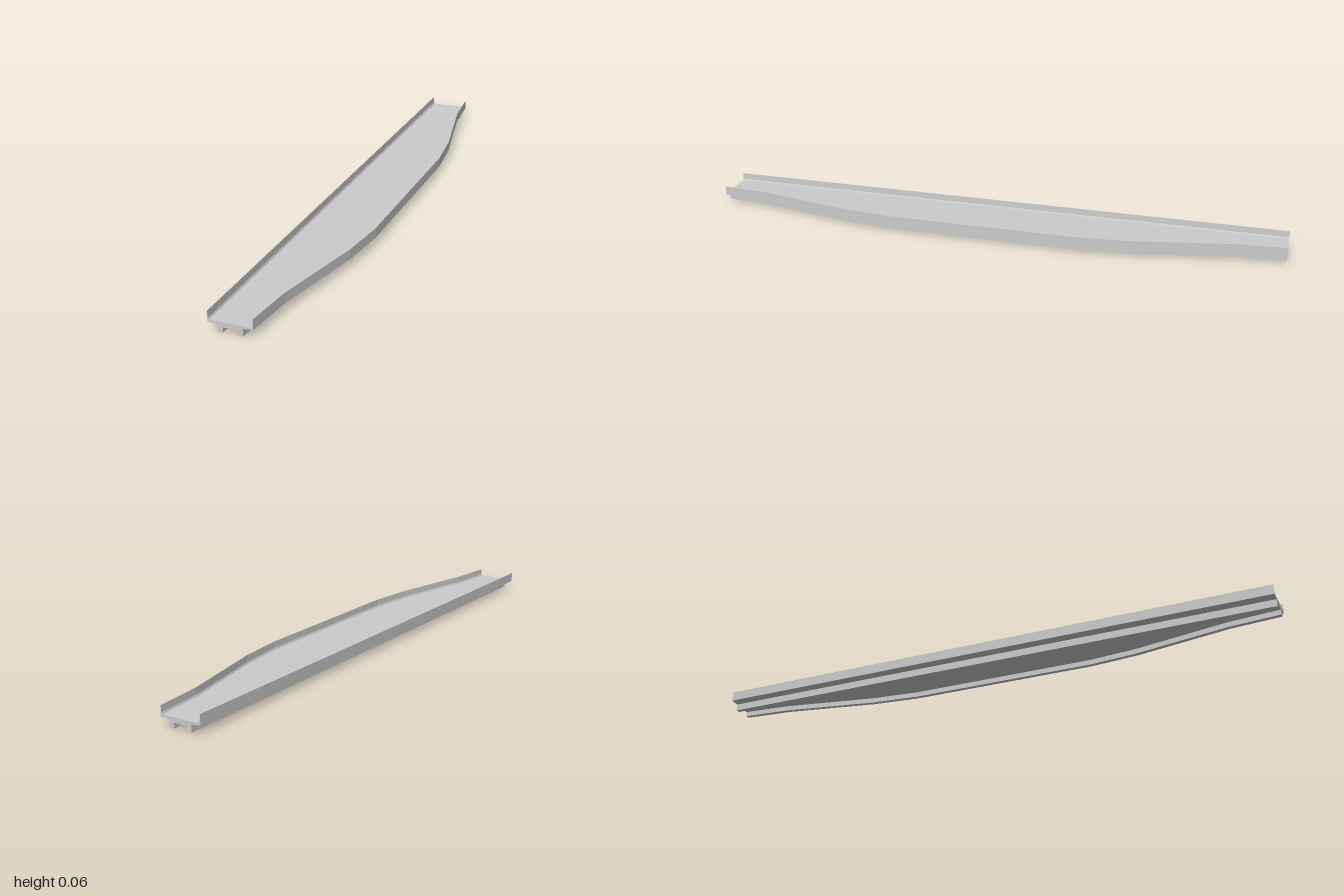
import * as THREE from 'three';

// Plan outline: the left side is straight, the right side bulges out mid-span
const LEFT = -0.121;
const STATIONS = [[-1, 0.02], [-0.83, 0.036], [-0.5, 0.103], [-0.33, 0.121],
  [0.33, 0.121], [0.5, 0.103], [0.83, 0.036], [1, 0.02]];

const L = (d, y) => ({ right: false, d, y });
const R = (d, y) => ({ right: true, d, y });

// Sweeps a counter-clockwise section along z. Each point is held at distance d
// from its side edge; edges listed in hidden are joints with other parts.
function sweep(name, section, hidden, material) {
  const rings = STATIONS.map(([z, edge]) => section.map((p) =>
    new THREE.Vector3(p.right ? edge - p.d : LEFT + p.d, p.y, z)));
  const pos = [];
  const tri = (...pts) => pts.forEach((p) => pos.push(p.x, p.y, p.z));
  const n = section.length;
  for (let s = 0; s < rings.length - 1; s++) {
    for (let i = 0; i < n; i++) {
      if (hidden.includes(i)) continue;
      const j = (i + 1) % n, a = rings[s], b = rings[s + 1];
      tri(a[i], a[j], b[j]);
      tri(a[i], b[j], b[i]);
    }
  }
  // End faces
  const back = rings[0], front = rings[rings.length - 1];
  const flat = front.map((p) => new THREE.Vector2(p.x, p.y));
  for (const [i, j, k] of THREE.ShapeUtils.triangulateShape(flat, [])) {
    tri(front[i], front[j], front[k]);
    tri(back[k], back[j], back[i]);
  }
  const geometry = new THREE.BufferGeometry();
  geometry.setAttribute('position', new THREE.Float32BufferAttribute(pos, 3));
  geometry.computeVertexNormals();
  const mesh = new THREE.Mesh(geometry, material);
  mesh.name = name;
  return mesh;
}

export function createModel() {
  const group = new THREE.Group();
  group.name = 'bridgeDeck';
  const material = new THREE.MeshStandardMaterial({ color: 0xcccccc, flatShading: true });

  // Walking surface, overhanging edges and soffit
  const deck = [R(0.006, 0.033), L(0.006, 0.033), L(0.006, 0.0264), L(0.032, 0.024),
    L(0.048, 0.017), R(0.048, 0.017), R(0.032, 0.024), R(0.006, 0.0264)];
  group.add(sweep('deck', deck, [1, 3, 5, 7], material));

  // Thin side walls with a chamfered foot, and the girders underneath
  const parapet = [[0.006, 0.0264], [0.006, 0.033], [0.003, 0.039], [0.002, 0.06], [0, 0.06], [0, 0.027]];
  const girder = [[0.032, 0.024], [0.032, 0], [0.048, 0], [0.048, 0.017]];
  const addPair = (name, pts, hiddenLeft, hiddenRight) => {
    group.add(sweep('left' + name, [...pts].reverse().map((p) => R(...p)), hiddenLeft, material));
    group.add(sweep('right' + name, pts.map((p) => L(...p)), hiddenRight, material));
  };
  addPair('Parapet', parapet, [4], [0]);
  addPair('Girder', girder, [3], [3]);
  return group;
}
